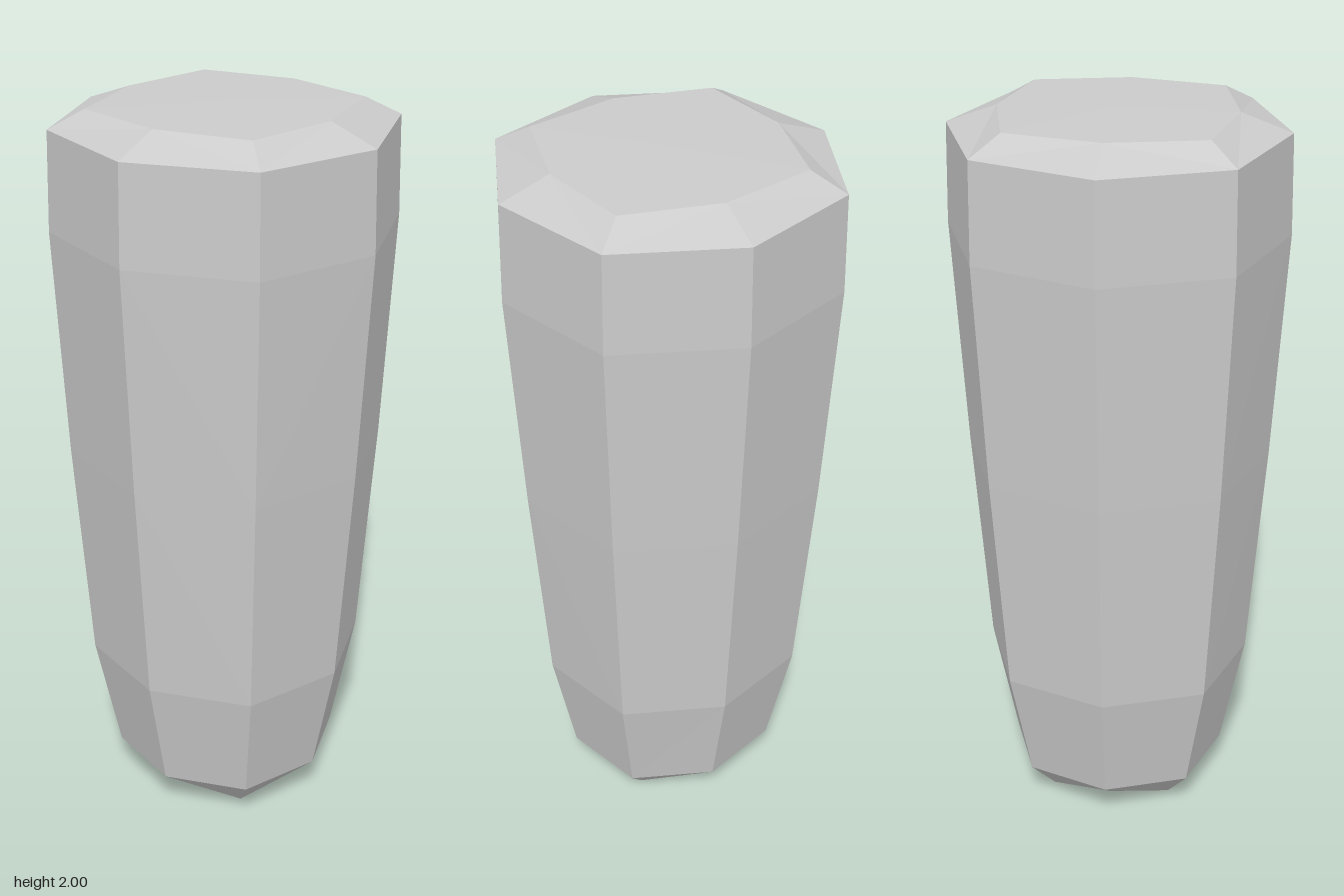
import * as THREE from 'three';

// Cross-sections from bottom to top: height, reach along the axes, reach of the corners
const RINGS = [
  [0, 0, 0],
  [0.026, 0.19, 0.166],
  [0.115, 0.302, 0.222],
  [0.44, 0.367, 0.27],
  [1.06, 0.412, 0.302],
  [1.68, 0.447, 0.325],
  [1.945, 0.441, 0.321],
  [1.994, 0.308, 0.253],
  [2, 0, 0],
];
const SIDES = 8;

// Point on an eight-sided ring: even points lie on the axes, odd ones on the diagonals
function ringPoint([y, axis, corner], i) {
  const a = (i / SIDES) * Math.PI * 2;
  const r = i % 2 ? corner * Math.SQRT2 : axis;
  return [Math.sin(a) * r, y, Math.cos(a) * r];
}

function facetedBody() {
  const positions = [];
  for (let k = 0; k < RINGS.length - 1; k++) {
    const low = RINGS[k], high = RINGS[k + 1];
    for (let i = 0; i < SIDES; i++) {
      const a = ringPoint(low, i), b = ringPoint(low, i + 1);
      const c = ringPoint(high, i + 1), d = ringPoint(high, i);
      if (k === 0) positions.push(...a, ...c, ...d); // bottom fan
      else if (k === RINGS.length - 2) positions.push(...a, ...b, ...c); // top fan
      else if (i % 2) positions.push(...a, ...b, ...c, ...a, ...c, ...d);
      else positions.push(...a, ...b, ...d, ...b, ...c, ...d); // mirrored diagonal
    }
  }
  const geometry = new THREE.BufferGeometry();
  geometry.setAttribute('position', new THREE.Float32BufferAttribute(positions, 3));
  geometry.computeVertexNormals();
  return geometry;
}

export function createModel() {
  const group = new THREE.Group();
  group.name = 'facetedPeg';
  const material = new THREE.MeshStandardMaterial({ color: 0xcccccc, flatShading: true });
  const body = new THREE.Mesh(facetedBody(), material);
  body.name = 'body';
  group.add(body);
  return group;
}
